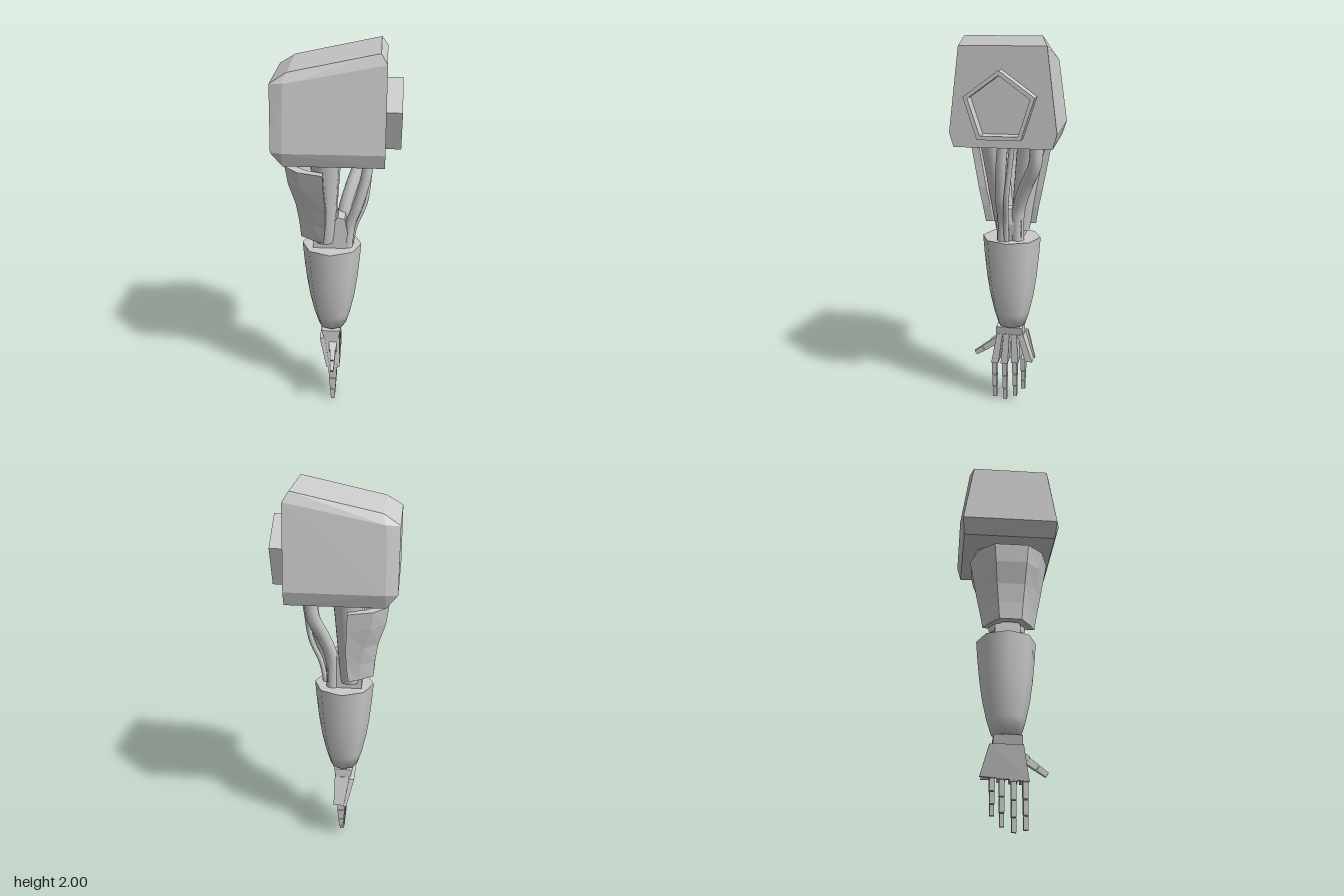
import * as THREE from 'three';
import { ConvexGeometry } from 'three/addons/geometries/ConvexGeometry.js';

const V = (x, y, z) => new THREE.Vector3(x, y, z);
const smooth = new THREE.MeshStandardMaterial({ color: 0xcccccc });
const flat = new THREE.MeshStandardMaterial({ color: 0xcccccc, flatShading: true });
const flatDouble = new THREE.MeshStandardMaterial({ color: 0xcccccc, flatShading: true, side: THREE.DoubleSide });

function add(parent, name, geometry, material = flat) {
  const mesh = new THREE.Mesh(geometry, material);
  mesh.name = name;
  parent.add(mesh);
  return mesh;
}

// Tapered block between rectangles given as [y, x0, x1, z0, z1]
function taper(...rects) {
  const pts = [];
  for (const [y, x0, x1, z0, z1] of rects)
    for (const x of [x0, x1]) for (const z of [z0, z1]) pts.push(V(x, y, z));
  return new ConvexGeometry(pts);
}

// Straight round bar between two points
function rod(parent, name, a, b, rTop, rBottom, sides = 16) {
  const geo = new THREE.CylinderGeometry(rTop, rBottom, a.distanceTo(b), sides);
  const mesh = add(parent, name, geo, smooth);
  mesh.position.copy(a).add(b).multiplyScalar(0.5);
  mesh.quaternion.setFromUnitVectors(V(0, 1, 0), a.clone().sub(b).normalize());
}

// Bent armour plate: U-shaped section, open towards +x, lofted down the arm
function shellGeometry(rows, thick) {
  const pos = [], idx = [];
  const section = (xl, xr, z) => [[xr, z], [xl + 0.07, z * 0.8], [xl, z * 0.42],
    [xl, -z * 0.42], [xl + 0.07, -z * 0.8], [xr, -z]];
  for (const [y, xl, xr, z] of rows) {
    const ring = [...section(xl, xr, z), ...section(xl + thick, xr, z - thick).reverse()];
    ring.forEach(([x, zz]) => pos.push(x, y, zz + 0.01));
  }
  const n = 12, last = (rows.length - 1) * n;
  for (let r = 0; r < rows.length - 1; r++)
    for (let i = 0; i < n; i++) {
      const a = r * n + i, b = r * n + (i + 1) % n;
      idx.push(a, a + n, b, b, a + n, b + n);
    }
  for (let i = 0; i < 5; i++) {
    const j = n - 1 - i;
    idx.push(i, i + 1, j, i + 1, j - 1, j);
    idx.push(last + i, last + j, last + i + 1, last + i + 1, last + j, last + j - 1);
  }
  const geo = new THREE.BufferGeometry();
  geo.setAttribute('position', new THREE.Float32BufferAttribute(pos, 3));
  geo.setIndex(idx);
  geo.computeVertexNormals();
  return geo;
}

export function createModel() {
  const arm = new THREE.Group();
  arm.name = 'mechanicalArm';

  // Shoulder: chamfered block with a sloping top
  const half = [
    [0.2, 2, 0.183], [-0.225, 1.91, 0.183], [-0.305, 1.86, 0.195],
    [0.23, 1.955, 0.208], [-0.24, 1.865, 0.215], [-0.305, 1.83, 0.2],
    [0.23, 1.55, 0.26], [-0.25, 1.55, 0.26], [-0.305, 1.55, 0.245],
    [0.23, 1.48, 0.24], [-0.25, 1.48, 0.237],
  ];
  add(arm, 'shoulderBlock', new ConvexGeometry(
    half.flatMap(([x, y, z]) => [V(x, y, z), V(x, y, -z)])));

  // Five-sided mounting collar on the inner face
  const pentagon = (r) => Array.from({ length: 5 }, (_, i) => {
    const a = Math.PI / 2 + i * Math.PI * 2 / 5;
    return new THREE.Vector2(r * Math.cos(a), r * Math.sin(a));
  });
  const collarShape = new THREE.Shape(pentagon(0.177));
  collarShape.holes.push(new THREE.Path(pentagon(0.154)));
  const collar = add(arm, 'mountingCollar',
    new THREE.ExtrudeGeometry(collarShape, { depth: 0.08, bevelEnabled: false }));
  collar.rotation.y = Math.PI / 2;
  collar.position.set(0.225, 1.673, 0.005);

  // Upper arm: two bars converging on the elbow
  for (const s of [1, -1])
    rod(arm, 'upperArmBar', V(-0.06, 1.52, s * 0.105), V(-0.07, 1.0, s * 0.04), 0.075, 0.05);

  // Outer armour plate
  add(arm, 'upperArmPlate', shellGeometry([
    [1.425, -0.26, -0.065, 0.207],
    [1.33, -0.247, -0.062, 0.19],
    [1.22, -0.212, -0.055, 0.17],
    [1.12, -0.197, -0.058, 0.15],
    [1.03, -0.19, -0.068, 0.135],
  ], 0.04), flatDouble);

  // Elbow saddle
  const elbow = new THREE.Shape([[-0.13, 0.94], [0.04, 0.94], [0.05, 1.05], [0.035, 1.13],
    [0, 1.14], [-0.05, 1.08], [-0.13, 1.04]].map(([x, y]) => new THREE.Vector2(x, y)));
  add(arm, 'elbow', new THREE.ExtrudeGeometry(elbow, { depth: 0.13, bevelEnabled: false }))
    .position.z = -0.065;

  // Cables running from shoulder to forearm
  const cables = [
    [0.034, [0.115, 1.52, -0.15], [0.105, 1.38, -0.14], [0.06, 1.25, -0.085], [0.025, 1.12, -0.045], [0.02, 0.94, -0.04]],
    [0.027, [0.155, 1.52, 0.01], [0.14, 1.36, 0.025], [0.1, 1.2, 0.035], [0.06, 1.08, 0.03], [0.045, 0.94, 0.035]],
    [0.014, [0.172, 1.52, -0.04], [0.155, 1.36, -0.02], [0.135, 1.2, 0.0], [0.085, 1.07, 0.01], [0.06, 0.94, 0.01]],
  ];
  for (const [r, ...pts] of cables) {
    const path = new THREE.CatmullRomCurve3(pts.map((p) => V(...p)));
    add(arm, 'cable', new THREE.TubeGeometry(path, 24, r, 10), smooth);
  }

  // Forearm: tapering eight-sided sleeve
  const sleeve = [[0, 0.465], [0.075, 0.465], [0.098, 0.54], [0.12, 0.64], [0.136, 0.75],
    [0.147, 0.86], [0.155, 0.965]].map((p) => new THREE.Vector2(...p));
  add(arm, 'forearm', new THREE.LatheGeometry(sleeve, 8), smooth).position.x = -0.036;
  const cap = add(arm, 'forearmTop', new THREE.CircleGeometry(0.155, 8));
  cap.rotation.x = -Math.PI / 2;
  cap.position.set(-0.036, 0.963, 0);

  // Wrist
  rod(arm, 'wristJoint', V(-0.036, 0.48, 0), V(-0.036, 0.445, 0), 0.035, 0.035);
  const hand = new THREE.Group();
  hand.name = 'hand';
  arm.add(hand);
  add(hand, 'wristBlock', taper([0.455, -0.09, 0.012, -0.065, 0.078], [0.39, -0.07, 0, -0.07, 0.08]));

  // Back of the hand
  add(hand, 'handPlate', new ConvexGeometry([
    V(-0.1, 0.405, 0.08), V(-0.1, 0.405, -0.085), V(-0.072, 0.41, 0.08), V(-0.072, 0.41, -0.085),
    V(-0.062, 0.235, 0.11), V(-0.062, 0.255, -0.13), V(-0.045, 0.235, 0.11), V(-0.045, 0.255, -0.13),
  ]));

  // Palm bones and fingers: [top z, knuckle z, finger z, knuckle y, tip y]
  const fingers = [
    [0.06, 0.09, 0.093, 0.235, 0.012],
    [0.022, 0.037, 0.036, 0.235, 0.0],
    [-0.018, -0.022, -0.021, 0.243, 0.025],
    [-0.055, -0.1, -0.068, 0.255, 0.075],
  ];
  for (const [zTop, zLow, zf, yk, tip] of fingers) {
    add(hand, 'palmBone', taper([0.41, -0.07, 0.008, zTop - 0.016, zTop + 0.016],
      [yk, -0.06, 0.01, zLow - 0.022, zLow + 0.018]));
    const len = yk - tip;
    const breaks = [-0.06, 0.38, 0.72, 1];
    for (let k = 0; k < 3; k++) {
      const d0 = 0.025 - k * 0.005, d1 = d0 - 0.005, w = 0.013 - k * 0.001;
      add(hand, 'fingerSegment', taper(
        [yk - len * breaks[k], -0.028 - d0, -0.028 + d0, zf - w, zf + w],
        [yk - len * breaks[k + 1] + (k < 2 ? 0.005 : 0), -0.028 - d1, -0.028 + d1, zf - w, zf + w]));
    }
  }

  // Thumb: wide base and two segments pointing outwards
  const thumb = new THREE.Group();
  thumb.name = 'thumb';
  thumb.position.set(-0.026, 0.375, 0.06);
  thumb.rotation.x = -0.95;
  hand.add(thumb);
  add(thumb, 'thumbBase', taper([0.02, -0.025, 0.02, -0.02, 0.02], [-0.055, -0.02, 0.018, -0.025, 0.02]));
  add(thumb, 'thumbMiddle', taper([-0.05, -0.016, 0.014, -0.018, 0.016], [-0.115, -0.013, 0.012, -0.016, 0.015]));
  add(thumb, 'thumbTip', taper([-0.118, -0.013, 0.012, -0.015, 0.014], [-0.172, -0.009, 0.009, -0.013, 0.012]));

  return arm;
}
